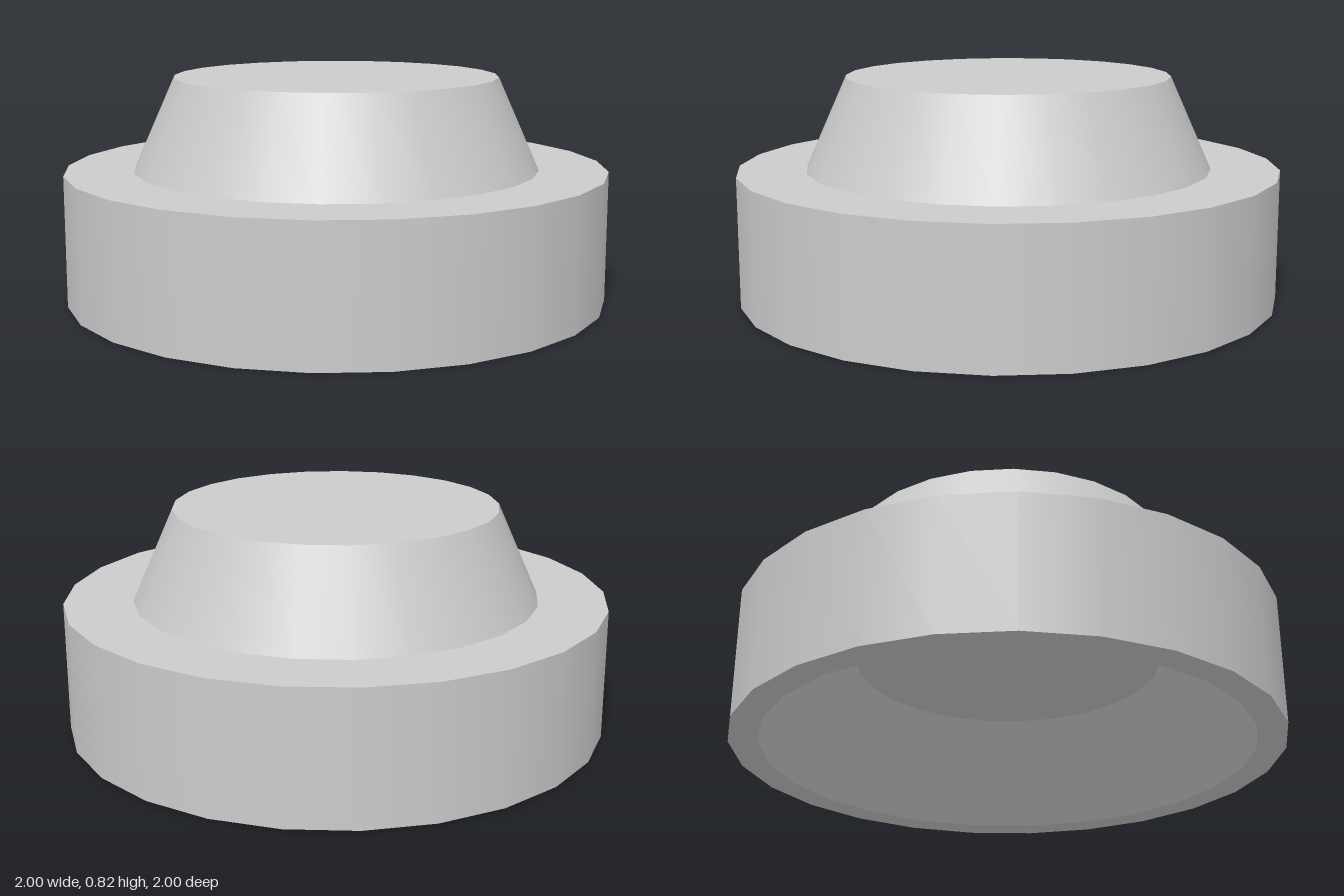
import * as THREE from 'three';

const SIDES = 25;

export function createModel() {
  const model = new THREE.Group();
  const material = new THREE.MeshStandardMaterial({ color: 0xcccccc });

  // Each band is its own lathe: smooth around the axis, sharp between bands.
  // Profile [radius, height] runs from the hollow underside, round the rim, to the top.
  const profile = [
    [0, 0.343], [0.567, 0.343], [0.896, 0], [1.002, 0],
    [1.002, 0.48], [0.75, 0.48], [0.598, 0.82], [0, 0.82],
  ];
  const names = [
    'hollowCeiling', 'hollowWall', 'bottomRim', 'baseWall',
    'shoulder', 'raisedTaper', 'topDisc',
  ];

  names.forEach((name, i) => {
    const points = [profile[i], profile[i + 1]].map(([r, y]) => new THREE.Vector2(r, y));
    // Start at +x so that a corner points right and a flat side points left
    const band = new THREE.Mesh(new THREE.LatheGeometry(points, SIDES, Math.PI / 2), material);
    band.name = name;
    band.position.x = -0.004; // an odd side count is slightly off balance
    model.add(band);
  });

  return model;
}
